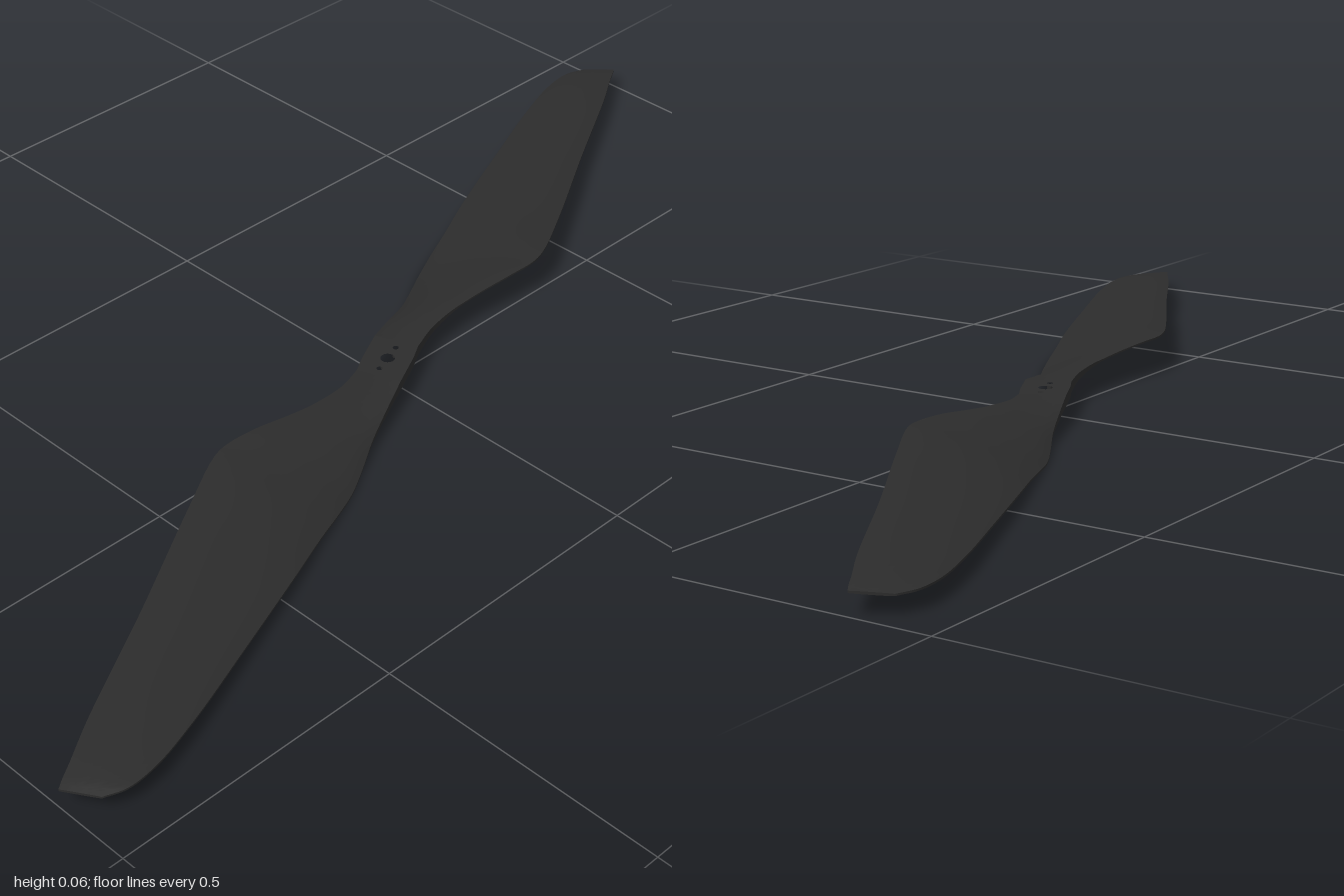
import * as THREE from 'three';
import { mergeVertices, toCreasedNormals } from 'three/addons/utils/BufferGeometryUtils.js';

// Blade stations: high edge (x, y, z) and low edge (x, y, z)
const STATIONS = [
  [-0.012, 0.036, 0.06, 0.06, 0.036, 0.03],
  [0.005, 0.042, 0.11, 0.085, 0.028, 0.085],
  [0.012, 0.05, 0.17, 0.115, 0.015, 0.15],
  [0.01, 0.056, 0.23, 0.15, 0.005, 0.21],
  [0.003, 0.062, 0.3, 0.175, 0.002, 0.255],
  [0.002, 0.063, 0.36, 0.2, 0.006, 0.31],
  [0.012, 0.063, 0.395, 0.225, 0.011, 0.37],
  [0.07, 0.055, 0.5, 0.265, 0.017, 0.46],
  [0.19, 0.046, 0.7, 0.335, 0.022, 0.63],
  [0.3, 0.041, 0.89, 0.395, 0.026, 0.78],
  [0.345, 0.038, 0.96, 0.425, 0.028, 0.875],
  [0.36, 0.036, 0.985, 0.43, 0.029, 0.93],
  [0.37, 0.034, 1.0, 0.418, 0.029, 0.965],
];

// Twisted, gently cambered aerofoil lofted along the stations
function bladeGeometry() {
  const high = new THREE.CatmullRomCurve3(STATIONS.map((s) => new THREE.Vector3(s[0], s[1], s[2])), false, 'centripetal');
  const low = new THREE.CatmullRomCurve3(STATIONS.map((s) => new THREE.Vector3(s[3], s[4], s[5])), false, 'centripetal');
  const rings = 72, half = 12, loop = 2 * (half + 1);
  const pos = [], index = [];
  for (let i = 0; i <= rings; i++) {
    const t = i / rings;
    const a = high.getPoint(t), b = low.getPoint(t);
    const root = Math.max(0, 1 - t * 5);
    const edge = 0.0015 + 0.0075 * root;
    const middle = THREE.MathUtils.lerp(0.009, 0.002, t);
    const camber = 0.005 * Math.sin(Math.PI * t);
    for (let k = 0; k < loop; k++) {
      const upper = k <= half;
      const u = upper ? k / half : (loop - 1 - k) / half;
      const bulge = 4 * u * (1 - u);
      const p = a.clone().lerp(b, u);
      const thick = edge + (middle - edge) * Math.sqrt(bulge);
      pos.push(p.x, Math.max(0, p.y + camber * bulge + (upper ? thick : -thick)), Math.min(1, p.z));
    }
  }
  for (let i = 0; i < rings; i++) {
    for (let k = 0; k < loop; k++) {
      const n = (k + 1) % loop;
      const a = i * loop + k, b = a + loop, c = i * loop + n, d = c + loop;
      index.push(a, b, c, c, b, d);
    }
  }
  // Tip cap
  const tip = rings * loop;
  for (let k = 0; k < half; k++) {
    const a = tip + k, b = a + 1, c = tip + loop - 1 - k, d = c - 1;
    index.push(a, c, b, b, c, d);
  }
  const g = new THREE.BufferGeometry();
  g.setAttribute('position', new THREE.Float32BufferAttribute(pos, 3));
  g.setIndex(index);
  return toCreasedNormals(mergeVertices(g), 0.7);
}

// Flat hub plate with a shaft hole and two small screw holes
function hubGeometry() {
  const side = [[0.06, 0.03], [0.045, 0], [0.03, -0.03], [0.012, -0.06]];
  const outline = [...side, ...side.map(([x, z]) => [-x, -z])];
  const shape = new THREE.Shape(outline.map(([x, z]) => new THREE.Vector2(x, z)));
  for (const [x, z, r] of [[0, 0, 0.012], [0.011, 0.03, 0.005], [-0.011, -0.03, 0.005]]) {
    shape.holes.push(new THREE.Path().absarc(x, z, r, 0, Math.PI * 2, true));
  }
  const g = new THREE.ExtrudeGeometry(shape, { depth: 0.018, bevelEnabled: false, curveSegments: 16 });
  return g.rotateX(Math.PI / 2).translate(0, 0.045, 0);
}

export function createModel() {
  const model = new THREE.Group();
  model.name = 'propeller';
  const black = new THREE.MeshStandardMaterial({ color: 0x2c2c2c });
  black.name = 'matte black';

  const hub = new THREE.Mesh(hubGeometry(), black);
  hub.name = 'hub';
  model.add(hub);

  // Two identical blades, half a turn apart
  const blade = bladeGeometry();
  ['frontBlade', 'backBlade'].forEach((name, i) => {
    const mesh = new THREE.Mesh(blade, black);
    mesh.name = name;
    mesh.rotation.y = i * Math.PI;
    model.add(mesh);
  });
  return model;
}
